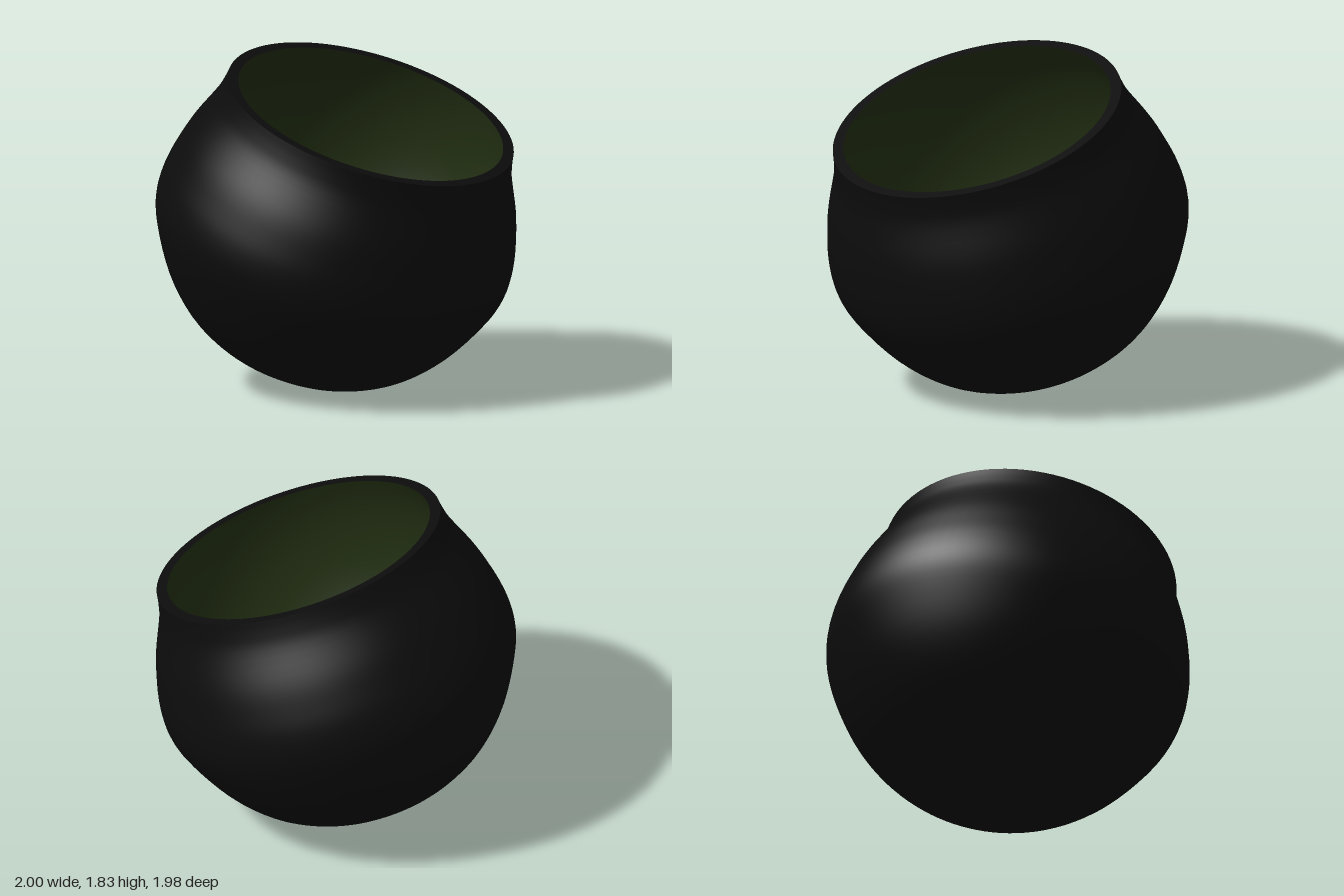
import * as THREE from 'three';

const SEGMENTS = 96;
const RIM_OUTER = 0.814;
const RIM_INNER = 0.754;
const BLACK = 0x0c0c0c;
const GREEN = 0x233013;

// Outer profile as [radius, height below the rim], from the bottom up
const PROFILE = [
  [0, -1.59], [0.13, -1.582], [0.24, -1.557], [0.36, -1.518], [0.52, -1.448],
  [0.68, -1.333], [0.828, -1.158], [0.949, -0.935], [0.996, -0.79], [0.997, -0.645],
  [0.969, -0.5], [0.927, -0.355], [0.85, -0.165], [0.825, -0.07], [RIM_OUTER, 0],
];

// Ellipsoidal hollow: height of its widest ring and its half height
const HOLLOW_Y = -0.48;
const HOLLOW_HALF = 0.98;

function lathe(name, points, color) {
  const material = new THREE.MeshStandardMaterial({ color });
  const mesh = new THREE.Mesh(new THREE.LatheGeometry(points, SEGMENTS), material);
  mesh.name = name;
  return mesh;
}

export function createModel() {
  const outer = new THREE.SplineCurve(PROFILE.map(([r, y]) => new THREE.Vector2(r, y))).getPoints(56);

  // Hollow runs from the rim down to the bottom so that it faces inwards
  const start = Math.asin(-HOLLOW_Y / HOLLOW_HALF);
  const radius = RIM_INNER / Math.cos(start);
  const hollow = [];
  for (let i = 0; i <= 40; i++) {
    const a = THREE.MathUtils.lerp(start, -Math.PI / 2, i / 40);
    hollow.push(new THREE.Vector2(radius * Math.cos(a), HOLLOW_Y + HOLLOW_HALF * Math.sin(a)));
  }

  // The whole pot leans forward about the centre of its rim
  const pot = new THREE.Group();
  pot.name = 'tiltedPot';
  pot.rotation.x = THREE.MathUtils.degToRad(20.1);
  pot.position.set(0, 1.55, 0.225);
  pot.add(
    lathe('outerShell', outer, BLACK),
    lathe('rim', [new THREE.Vector2(RIM_OUTER, 0), new THREE.Vector2(RIM_INNER, 0)], BLACK),
    lathe('innerBowl', hollow, GREEN),
  );

  const model = new THREE.Group();
  model.name = 'pot';
  model.add(pot);
  return model;
}
